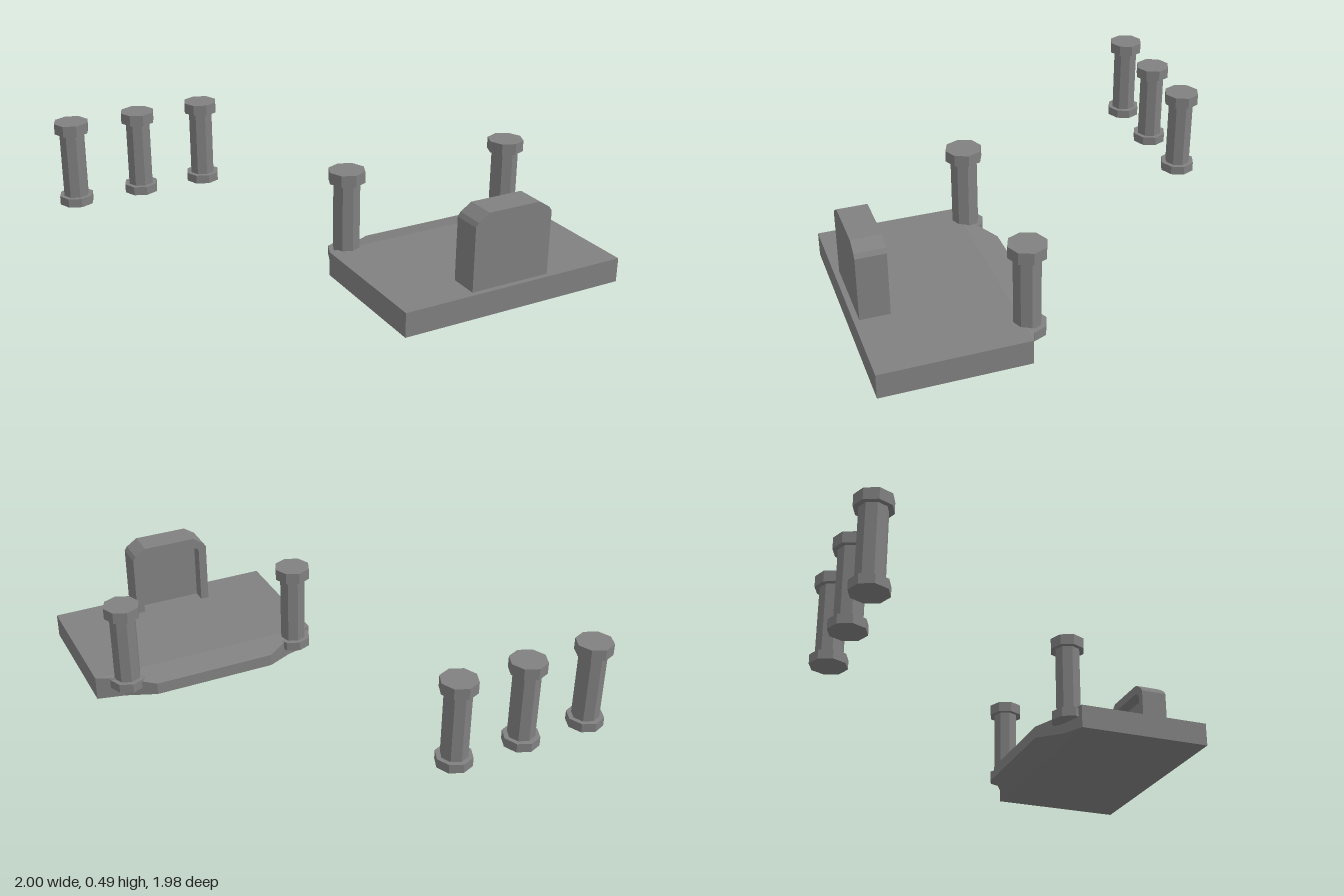
import * as THREE from 'three';

const stone = new THREE.MeshStandardMaterial({ color: 0x808080 });
stone.name = 'grey stone';
stone.flatShading = true;

function add(parent, name, geometry, x = 0, y = 0, z = 0) {
  const mesh = new THREE.Mesh(geometry, stone);
  mesh.name = name;
  mesh.position.set(x, y, z);
  parent.add(mesh);
  return mesh;
}

const shapeOf = (points) => new THREE.Shape(points.map(([x, y]) => new THREE.Vector2(x, y)));
const extrude = (points, depth) =>
  new THREE.ExtrudeGeometry(shapeOf(points), { depth, bevelEnabled: false });

// Octagonal pillar: foot, shaft and cap
function makePillar(x, z) {
  const pillar = new THREE.Group();
  pillar.name = 'pillar';
  const drum = (name, radius, low, high) =>
    add(pillar, name, new THREE.CylinderGeometry(radius, radius, high - low, 8), 0, (low + high) / 2, 0);
  drum('pillarFoot', 0.086, 0.06, 0.104);
  drum('pillarShaft', 0.063, 0.104, 0.436);
  drum('pillarCap', 0.086, 0.436, 0.49);
  pillar.position.set(x, 0, z);
  return pillar;
}

// Sloped ledge behind the slab, thinning towards its back edge
function makeLedge() {
  const geometry = extrude(
    [[-0.12, 0.33], [0.01, 0.285], [0.147, 0.2], [0.735, 0.2], [0.87, 0.285], [0.995, 0.33]], 0.115);
  geometry.rotateX(Math.PI / 2).translate(0, 0.115, 0);
  const p = geometry.attributes.position;
  for (let i = 0; i < p.count; i++) {
    const t = (0.33 - p.getZ(i)) / 0.13;
    p.setY(i, p.getY(i) > 0.05 ? 0.115 - 0.027 * t : 0.03 * t);
  }
  geometry.computeVertexNormals();
  return geometry;
}

// Upright tablet: solid front panel with an open-bottomed frame behind it
function makeTablet() {
  const tablet = new THREE.Group();
  tablet.name = 'tablet';
  const arch = (w, h, cut) => [
    [w, 0], [w, h - 0.055 * cut], [w - 0.013 * cut, h - 0.035 * cut], [w - 0.066 * cut, h],
    [-w + 0.066 * cut, h], [-w + 0.013 * cut, h - 0.035 * cut], [-w, h - 0.055 * cut], [-w, 0],
  ];
  const outer = arch(0.195, 0.355, 1);
  const inner = arch(0.155, 0.31, 0.5).reverse();
  add(tablet, 'tabletPanel', extrude(outer, 0.07), 0, 0, 0.065);
  add(tablet, 'tabletFrame', extrude([...outer, ...inner], 0.065));
  tablet.position.set(0.42, 0.115, 0.83);
  return tablet;
}

export function createModel() {
  const model = new THREE.Group();
  model.name = 'ruinedShrine';

  add(model, 'baseSlab', new THREE.BoxGeometry(1.115, 0.115, 0.66), 0.4375, 0.0575, 0.66);
  add(model, 'backLedge', makeLedge());
  model.add(makeTablet());

  // Two pillars on the slab, three standing apart in a row
  for (const x of [-0.02, 0.845]) model.add(makePillar(x, 0.305));
  for (const x of [-0.914, -0.568, -0.223]) model.add(makePillar(x, -0.905));

  return model;
}
